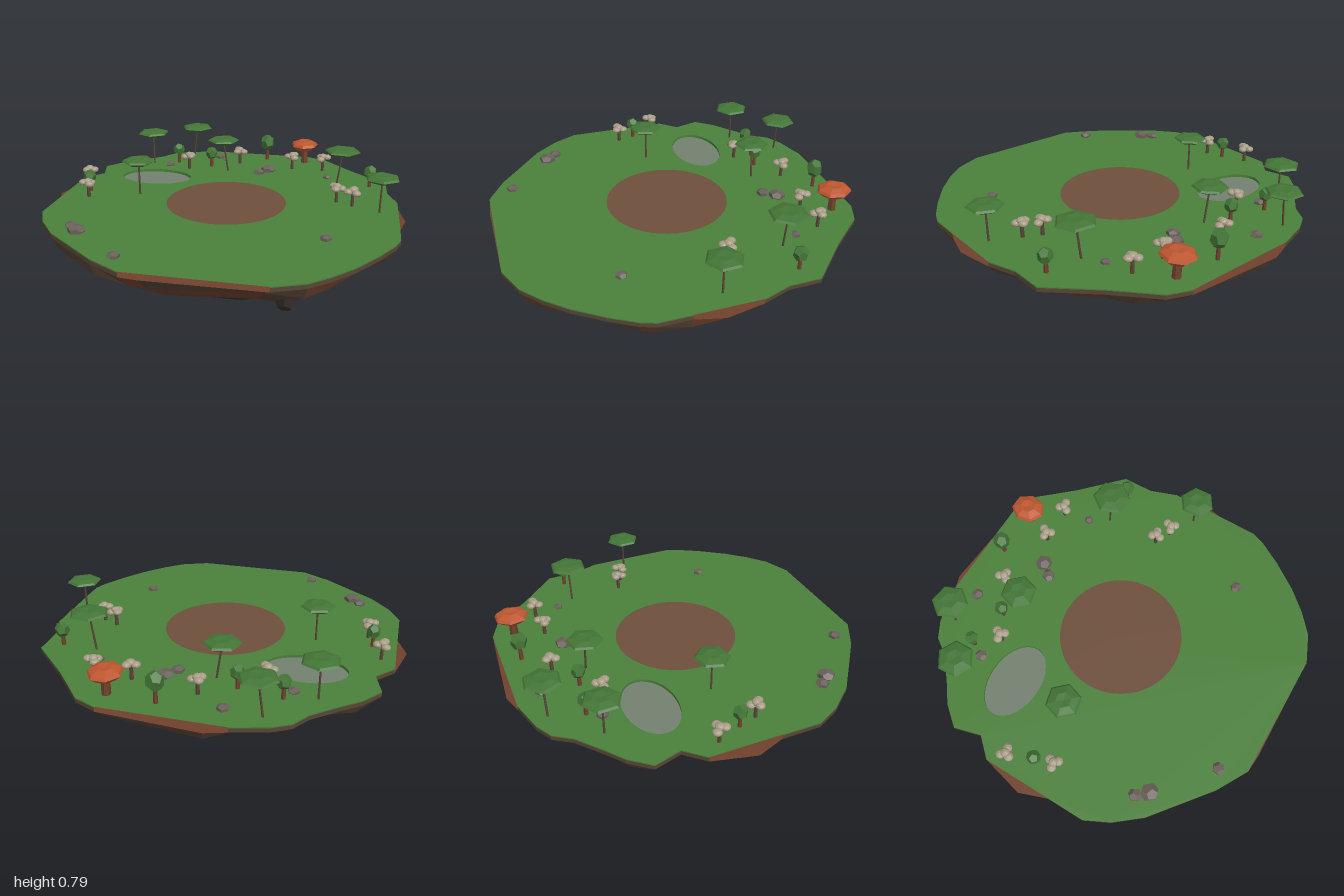
import * as THREE from 'three';

const mat = (name, color) => Object.assign(new THREE.MeshStandardMaterial({ color }), { name });
const grass = mat('grass green', 0x4b803b);
const dirt = mat('clearing brown', 0x6e4f3c);
const water = mat('pond grey', 0x73806f);
const rust = mat('rust rock', 0x70412d);
const brown = mat('brown rock', 0x584436);
const dark = mat('dark rock', 0x372e2a);
const leaf = mat('leaf green', 0x437536);
const orange = mat('orange leaf', 0xbd5630);
const stone = mat('stone grey', 0x6a605b);
const cream = mat('pale blossom', 0xa89c86);

const TOP = 0.563, LIP = 0.557, RIM = 0.535;
let seed = 7;
const rnd = () => (seed = (seed * 16807) % 2147483647) / 2147483647;
const jit = (a) => (rnd() * 2 - 1) * a;

// Grass outline (x, z); a third entry is a rock point bulging out past an open edge
const outline = [
  [-0.26, -0.95, [-0.15, -0.985]], [0.38, -0.95], [0.5, -0.9], [0.58, -0.81], [0.68, -0.7],
  [0.9, -0.49], [0.905, -0.32], [0.96, -0.17, [1, 0.03]], [0.965, 0.18], [0.965, 0.35],
  [0.94, 0.42], [0.865, 0.55], [0.76, 0.7], [0.66, 0.81], [0.555, 0.9], [0.4, 0.965, [-0.19, 0.975]],
  [-0.29, 0.965], [-0.46, 0.87], [-0.77, 0.625], [-0.88, 0.49], [-0.945, 0.36],
  [-0.945, 0.15, [-1, 0]], [-0.945, -0.23], [-0.855, -0.33], [-0.895, -0.475], [-0.81, -0.58],
  [-0.72, -0.65], [-0.59, -0.76], [-0.53, -0.85], [-0.44, -0.9],
];

function flat(geo) {
  const g = geo.index ? geo.toNonIndexed() : geo;
  g.computeVertexNormals();
  return g;
}

function add(parent, name, geo, material, x = 0, y = 0, z = 0) {
  const m = new THREE.Mesh(geo, material);
  m.name = name;
  m.position.set(x, y, z);
  parent.add(m);
  return m;
}

// Flat facets with one group per material
function facetMesh(name, materials, tris) {
  const pos = [], geo = new THREE.BufferGeometry();
  materials.forEach((_, i) => {
    const start = pos.length / 3;
    tris.filter((t) => t.m === i).forEach((t) => t.p.forEach((v) => pos.push(...v)));
    geo.addGroup(start, pos.length / 3 - start, i);
  });
  geo.setAttribute('position', new THREE.Float32BufferAttribute(pos, 3));
  geo.computeVertexNormals();
  const m = new THREE.Mesh(geo, materials);
  m.name = name;
  return m;
}

// Rock underside: shrinking rings of the rim, ridged in columns, down to a blunt tip
function island() {
  const rim = outline.flatMap(([x, z, b]) => (b ? [[x, z], b] : [[x, z]]));
  const n = rim.length, tris = [];
  const ridge = rim.map(() => jit(0.045));
  const levels = [[1, RIM], [0.935, 0.475], [0.79, 0.39], [0.61, 0.29], [0.43, 0.2], [0.21, 0.08]];
  const rings = levels.map(([s, y], k) => rim.map(([x, z], i) => {
    const bump = k === 5 ? 0 : ridge[i] + jit(0.02);
    const f = k ? s * (1 + bump) : 1, shift = (1 - s) * 0.07;
    return [x * f + shift, y + (k && k < 4 ? jit(0.014) : 0), z * f + shift];
  }));
  const bandColour = [
    () => (rnd() < 0.3 ? 1 : 0), () => (rnd() < 0.8 ? 1 : 0),
    () => (rnd() < 0.4 ? 1 : 0), () => 0, () => 2,
  ];
  const tip = [0.1, 0.008, 0.07];
  for (let i = 0; i < n; i++) {
    const j = (i + 1) % n;
    tris.push({ m: 1, p: [[0, RIM, 0], rings[0][j], rings[0][i]] });
    for (let k = 0; k < 5; k++) {
      const [a, b, c, d] = [rings[k][i], rings[k][j], rings[k + 1][j], rings[k + 1][i]];
      const m = bandColour[k]();
      if (rnd() < 0.5) tris.push({ m, p: [a, b, c] }, { m, p: [a, c, d] });
      else tris.push({ m, p: [a, b, d] }, { m, p: [b, c, d] });
    }
    tris.push({ m: 2, p: [rings[5][i], rings[5][j], tip] });
  }
  return facetMesh('rockUnderside', [brown, rust, dark], tris);
}

// Green lip and thin earth edge under the grass, open where the rock bulges out
function earthEdge() {
  const tris = [];
  outline.forEach(([x, z, bulge], i) => {
    if (bulge) return;
    const [u, w] = outline[(i + 1) % outline.length];
    [[TOP, LIP], [LIP, RIM]].forEach(([y1, y0], m) => {
      const a = [x, y1, z], b = [u, y1, w], c = [u, y0, w], d = [x, y0, z];
      tris.push({ m, p: [a, b, c] }, { m, p: [a, c, d] });
    });
  });
  return facetMesh('earthEdge', [grass, brown], tris);
}

// Trunk from the ground to a top point
function trunk(parent, x0, z0, x1, y1, z1, r, material) {
  const a = new THREE.Vector3(x0, TOP - 0.005, z0), d = new THREE.Vector3(x1, y1, z1).sub(a);
  const m = add(parent, 'trunk', flat(new THREE.CylinderGeometry(r * 0.8, r, d.length(), 6)), material);
  m.position.copy(a).addScaledVector(d, 0.5);
  m.quaternion.setFromUnitVectors(new THREE.Vector3(0, 1, 0), d.normalize());
}

// Flat umbrella crown
function umbrella(r, h, sides) {
  const profile = [[0, -0.3], [0.6, -0.45], [1, 0.02], [0.9, 0.25], [0.45, 0.5], [0, 0.4]]
    .map(([x, y]) => new THREE.Vector2(x * r, y * h));
  return flat(new THREE.LatheGeometry(profile, sides));
}

function group(parent, name) {
  const g = new THREE.Group();
  g.name = name;
  parent.add(g);
  return g;
}

export function createModel() {
  const root = new THREE.Group();
  root.name = 'floatingIsland';
  root.add(island(), earthEdge());

  // Grass sheet with a hole for the pond
  const shape = new THREE.Shape(outline.map(([x, z]) => new THREE.Vector2(x, -z)));
  const hole = new THREE.Path();
  hole.absellipse(-0.51, 0.345, 0.215, 0.14, 0, Math.PI * 2, true);
  shape.holes.push(hole);
  add(root, 'grassTop', new THREE.ShapeGeometry(shape, 16).rotateX(-Math.PI / 2), grass, 0, TOP, 0);

  // Sunken pond; its bank is mirrored so that it faces inward
  const pond = new THREE.CircleGeometry(1, 32).rotateX(-Math.PI / 2).scale(0.215, 1, 0.14);
  add(root, 'pondWater', pond, water, -0.51, TOP - 0.016, -0.345);
  const bank = new THREE.CylinderGeometry(1, 1, 0.016, 32, 1, true).scale(-0.215, 1, 0.14);
  bank.computeVertexNormals();
  add(root, 'pondBank', bank, grass, -0.51, TOP - 0.008, -0.345);

  const clearing = new THREE.CircleGeometry(0.338, 48).rotateX(-Math.PI / 2);
  add(root, 'dirtClearing', clearing, dirt, 0.01, TOP + 0.002, 0.01);

  // Rocks hanging below: long lumps, narrower at the foot
  [[0.39, 0.112, 0.2, 0.078, 0.112, dark], [0.415, 0.125, 0.075, 0.065, 0.085, dark],
    [0.02, 0.115, -0.28, 0.088, 0.118, dark], [-0.36, 0.225, -0.38, 0.055, 0.06, brown]]
    .forEach(([x, y, z, r, h, m], i) => {
      const g = new THREE.DodecahedronGeometry(1, 0).rotateY(i), p = g.attributes.position;
      for (let k = 0; k < p.count; k++) {
        const f = 1 + 0.2 * p.getY(k);
        p.setXYZ(k, p.getX(k) * f * r, p.getY(k) * h, p.getZ(k) * f * r);
      }
      add(root, 'hangingRock', flat(g), m, x, y, z);
    });

  // Umbrella trees: crown x, y, z, radius, trunk foot x
  [[-0.365, 0.76, -0.83, 0.1, -0.39], [-0.61, 0.765, -0.615, 0.1, -0.61],
    [-0.125, 0.76, -0.55, 0.098, -0.095], [0.63, 0.77, -0.425, 0.107, 0.605],
    [0.86, 0.758, 0, 0.097, 0.86], [-0.51, 0.762, -0.015, 0.095, -0.51]]
    .forEach(([x, y, z, r, fx], i) => {
      const t = group(root, 'umbrellaTree');
      trunk(t, fx, z, x, y, z, 0.006, brown);
      add(t, 'crown', umbrella(r, 0.042, 6), leaf, x, y, z).rotation.y = i * 0.7 + 0.4;
    });

  // Orange tree
  const autumn = group(root, 'orangeTree');
  trunk(autumn, 0.37, -0.83, 0.365, 0.68, -0.83, 0.024, rust);
  add(autumn, 'crown', umbrella(0.092, 0.065, 7).scale(0.95, 1, 1.05), orange, 0.365, 0.68, -0.83);

  // Round trees: x, z, crown height, radius, half height
  [[0.115, -0.845, 0.68, 0.047, 0.054], [-0.45, -0.655, 0.655, 0.038, 0.04],
    [-0.22, -0.62, 0.652, 0.038, 0.042], [0.8, -0.42, 0.653, 0.04, 0.044],
    [-0.815, -0.01, 0.652, 0.038, 0.04]]
    .forEach(([x, z, y, r, h], i) => {
      const t = group(root, 'roundTree');
      trunk(t, x, z, x, y, z, 0.012, rust);
      const crown = new THREE.DodecahedronGeometry(1, 0).rotateZ(0.55).rotateY(i).scale(r, h, r);
      add(t, 'crown', flat(crown), leaf, x, y, z);
    });

  // Clusters of pale-topped shrubs
  [[-0.05, -0.72], [0.305, -0.67], [0.5, -0.675], [-0.35, -0.54],
    [-0.87, -0.145], [-0.785, 0.09], [0.62, -0.12], [0.71, -0.075]]
    .forEach(([x, z], i) => {
      const s = group(root, 'paleShrub');
      trunk(s, x, z, x, 0.64, z, 0.011, brown);
      for (let k = 0; k < 4; k++) {
        const a = i + (k * Math.PI * 2) / 3, d = k < 3 ? 0.027 : 0;
        const cap = new THREE.IcosahedronGeometry(1, 1).rotateY(k).scale(0.025, 0.018, 0.025);
        add(s, 'cap', flat(cap), cream, x + Math.cos(a) * d, 0.642 + k * 0.005, z + Math.sin(a) * d);
      }
    });

  // Stones on the grass
  [[-0.2, -0.815, 0.034], [-0.49, -0.585, 0.033], [0.16, -0.6, 0.048], [0.11, -0.535, 0.038],
    [0.54, -0.53, 0.027], [0.6, 0.42, 0.032], [-0.7, 0.525, 0.037], [-0.65, 0.58, 0.05], [-0.36, 0.825, 0.035]]
    .forEach(([x, z, r], i) => {
      const g = flat(new THREE.DodecahedronGeometry(r, 0).rotateY(i * 1.3).scale(1, 0.55, 1));
      add(root, 'stone', g, stone, x, TOP + r * 0.2, z);
    });

  return root;
}
